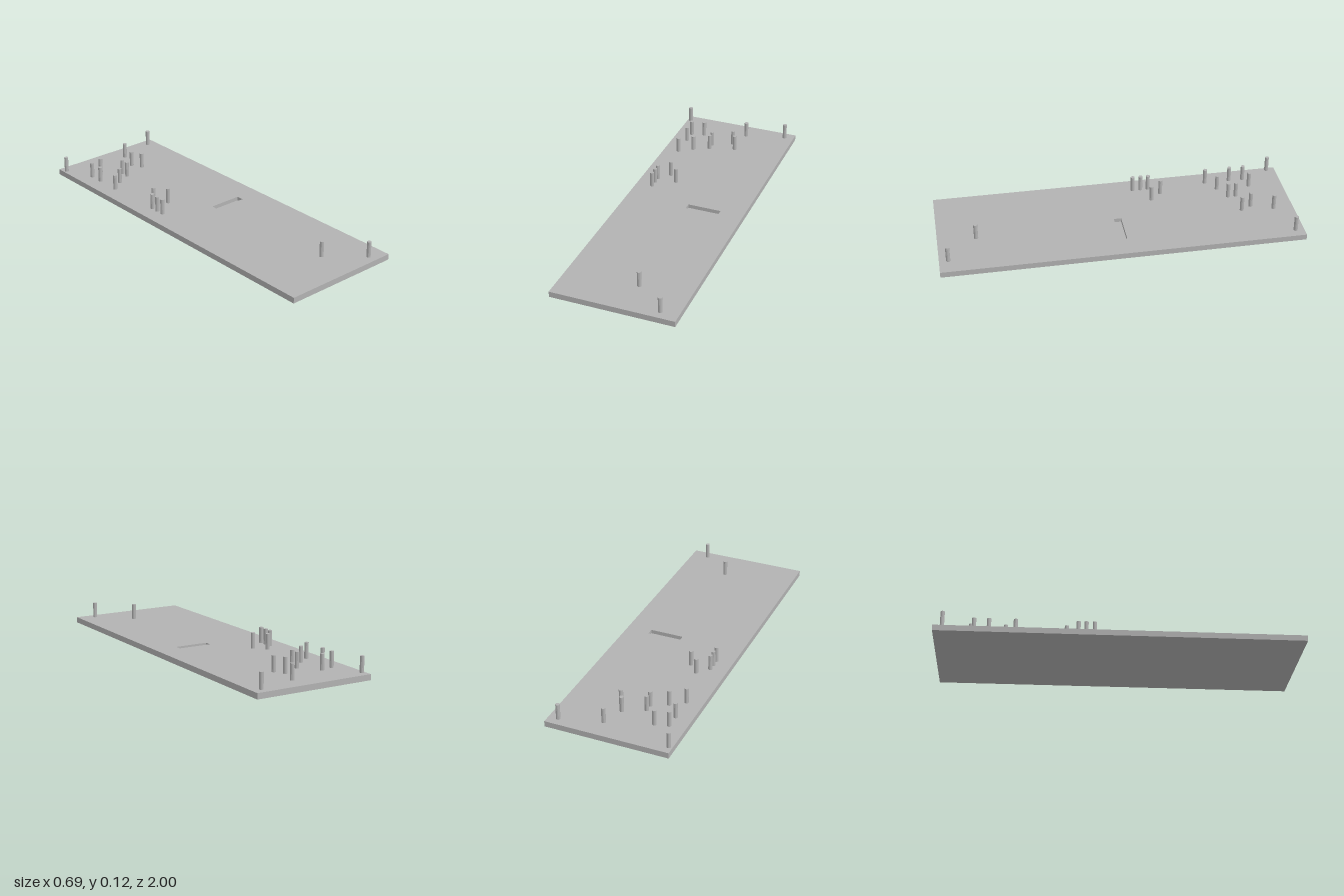
import * as THREE from 'three';

const W = 0.343, L = 1, H = 0.032, FLOOR = 0.01, PEG_TOP = 0.12, PEG_R = 0.0115;
const SLOT = { x0: 0.017, x1: 0.208, z0: -0.024, z1: 0.017 };

// Peg positions as [x, z]
const PEGS = [
  // back field
  [-0.323, -0.951], [0.288, -0.951], [0.063, -0.888], [-0.18, -0.806], [-0.254, -0.787],
  [0.02, -0.765], [-0.254, -0.707], [-0.093, -0.707], [0.051, -0.707], [-0.093, -0.663],
  [-0.18, -0.618], [-0.254, -0.564],
  // middle cluster
  [-0.192, -0.288], [-0.249, -0.226], [-0.137, -0.226], [-0.249, -0.183], [-0.249, -0.138],
  // front pair
  [0.063, 0.787], [0.244, 0.95],
];

function rect(Type, x0, x1, z0, z1) {
  return new Type([[x0, -z1], [x1, -z1], [x1, -z0], [x0, -z0]].map(([x, y]) => new THREE.Vector2(x, y)));
}

export function createModel() {
  const group = new THREE.Group();
  const grey = new THREE.MeshStandardMaterial({ color: 0xb2b2b2, flatShading: true });
  grey.name = 'plain grey';

  const add = (name, geometry, x = 0, y = 0, z = 0) => {
    const mesh = new THREE.Mesh(geometry, grey);
    mesh.name = name;
    mesh.position.set(x, y, z);
    group.add(mesh);
  };

  // Board with a slot cut into its top
  const outline = rect(THREE.Shape, -W, W, -L, L);
  outline.holes.push(rect(THREE.Path, SLOT.x0, SLOT.x1, SLOT.z0, SLOT.z1));
  const board = new THREE.ExtrudeGeometry(outline, { depth: H, bevelEnabled: false });
  board.rotateX(-Math.PI / 2);
  add('board', board);

  // Floor closing the slot flush with the underside
  add('slotFloor', new THREE.BoxGeometry(SLOT.x1 - SLOT.x0, FLOOR, SLOT.z1 - SLOT.z0),
    (SLOT.x0 + SLOT.x1) / 2, FLOOR / 2, (SLOT.z0 + SLOT.z1) / 2);

  // Upright pegs
  const peg = new THREE.CylinderGeometry(PEG_R, PEG_R, PEG_TOP - H, 12);
  PEGS.forEach(([x, z], i) => add(`peg${i + 1}`, peg, x, (H + PEG_TOP) / 2, z));

  return group;
}
